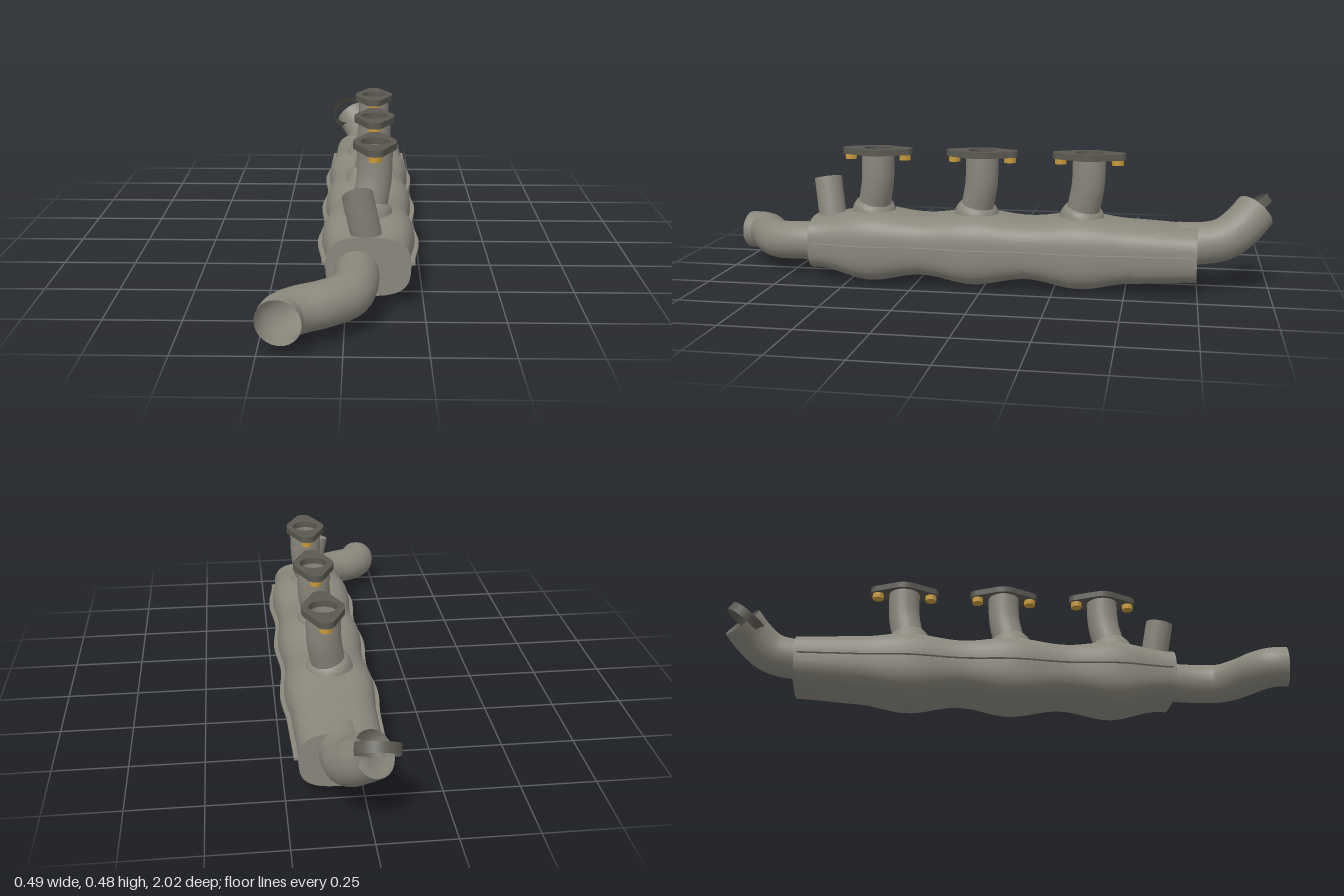
import * as THREE from 'three';
import { toCreasedNormals } from 'three/addons/utils/BufferGeometryUtils.js';

const V = (x, y, z) => new THREE.Vector3(x, y, z);
const material = (color) => new THREE.MeshStandardMaterial({ color, side: THREE.DoubleSide });
const CX = 0.072, Z_FRONT = 0.635, Z_BACK = -0.745;

// Body dimensions along z: three swellings, one under each runner
function section(z) {
  const swell = z < -0.53 ? 0 : 0.5 + 0.5 * Math.cos((2 * Math.PI * (z - 0.04)) / 0.38);
  const mid = THREE.MathUtils.smoothstep(z, Z_BACK, -0.5) * (1 - THREE.MathUtils.smoothstep(z, 0.4, Z_FRONT));
  return {
    w: 0.134 + 0.006 * mid + 0.014 * swell,
    top: 0.235 + 0.01 * mid + 0.018 * swell,
    bottom: 0.043 - 0.013 * mid - 0.027 * swell,
  };
}

// Rounded-box cross-sections lofted from back to front, with flat caps
function bodyGeometry() {
  const rows = 72, n = 48, pos = [], idx = [];
  const power = (v) => Math.sign(v) * Math.pow(Math.abs(v), 2 / 3);
  for (let i = 0; i <= rows; i++) {
    const z = THREE.MathUtils.lerp(Z_BACK, Z_FRONT, i / rows);
    const { w, top, bottom } = section(z);
    for (let j = 0; j < n; j++) {
      const a = (j / n) * Math.PI * 2;
      pos.push(CX + w * power(Math.cos(a)), (top + bottom) / 2 + ((top - bottom) / 2) * power(Math.sin(a)), z);
    }
  }
  for (let i = 0; i < rows; i++) {
    for (let j = 0; j < n; j++) {
      const a = i * n + j, b = i * n + ((j + 1) % n);
      idx.push(a, b, b + n, a, b + n, a + n);
    }
  }
  const back = pos.length / 3;
  pos.push(CX, 0.139, Z_BACK, CX, 0.139, Z_FRONT);
  for (let j = 0; j < n; j++) {
    const k = (j + 1) % n;
    idx.push(back, k, j, back + 1, rows * n + j, rows * n + k);
  }
  const g = new THREE.BufferGeometry();
  g.setAttribute('position', new THREE.Float32BufferAttribute(pos, 3));
  g.setIndex(idx);
  return toCreasedNormals(g, 0.7);
}

// Thin seam lip following one side of the body
function lipGeometry(side) {
  const outer = [], inner = [];
  for (let i = 0; i <= 48; i++) {
    const z = THREE.MathUtils.lerp(Z_BACK + 0.01, Z_FRONT - 0.015, i / 48);
    const { w } = section(z);
    outer.push(new THREE.Vector2(CX + side * (w + 0.014), z));
    inner.unshift(new THREE.Vector2(CX + side * (w - 0.02), z));
  }
  const g = new THREE.ExtrudeGeometry(new THREE.Shape([...outer, ...inner]), { depth: 0.01, bevelEnabled: false });
  return g.rotateX(Math.PI / 2).translate(0, 0.15, 0);
}

function pipe(points, radius, segments = 32) {
  return new THREE.TubeGeometry(new THREE.CatmullRomCurve3(points), segments, radius, 24);
}

// Open band or cylinder turned so that its axis points along dir
function aim(mesh, center, dir) {
  mesh.position.copy(center);
  mesh.quaternion.setFromUnitVectors(V(0, 1, 0), dir.clone().normalize());
  return mesh;
}

// Two-bolt flange: round middle tapering tangentially to rounded ears
function flangeGeometry() {
  const R = 0.072, r = 0.03, d = 0.098, a = Math.acos((R - r) / d);
  const s = new THREE.Shape();
  s.absarc(0, 0, R, -Math.PI / 2 + a, Math.PI / 2 - a);
  s.absarc(0, d, r, Math.PI / 2 - a, Math.PI / 2 + a);
  s.absarc(0, 0, R, Math.PI / 2 + a, Math.PI * 1.5 - a);
  s.absarc(0, -d, r, Math.PI * 1.5 - a, Math.PI * 1.5 + a);
  s.closePath();
  const hole = new THREE.Path();
  hole.absarc(0, 0, 0.048, 0, Math.PI * 2, true);
  s.holes.push(hole);
  const g = new THREE.ExtrudeGeometry(s, { depth: 0.022, bevelEnabled: false, curveSegments: 10 });
  return g.rotateX(Math.PI / 2);
}

export function createModel() {
  const group = new THREE.Group();
  const steel = material(0x8a877c), dark = material(0x5a5850), brass = material(0xc89b3c);
  const add = (name, geometry, mat, parent = group) => {
    const mesh = new THREE.Mesh(geometry, mat);
    mesh.name = name;
    parent.add(mesh);
    return mesh;
  };

  add('body', bodyGeometry(), steel);
  add('leftSeamLip', lipGeometry(1), steel);
  add('rightSeamLip', lipGeometry(-1), steel);

  // Outlet pipe, swinging to the right
  add('frontPipe', pipe([V(0.034, 0.122, 0.6), V(0.034, 0.12, 0.72), V(0.01, 0.115, 0.81), V(-0.06, 0.112, 0.87),
    V(-0.135, 0.109, 0.91), V(-0.175, 0.107, 0.95), V(-0.185, 0.106, 1)], 0.071, 48), steel);

  // Rear elbow, turning up and to the right, with a loose band in its mouth
  add('rearElbow', pipe([V(0.07, 0.172, -0.68), V(0.07, 0.175, -0.77), V(0.063, 0.192, -0.84),
    V(0.037, 0.235, -0.9), V(0, 0.28, -0.944)], 0.074), steel);
  aim(add('rearBand', new THREE.CylinderGeometry(0.075, 0.075, 0.034, 32, 1, true), dark),
    V(-0.008, 0.287, -0.93), V(-0.08, 0.8, 0.6));

  // Short sensor stub
  aim(add('stub', new THREE.CylinderGeometry(0.05, 0.05, 0.16, 24, 1, true), steel),
    V(0.053, 0.288, 0.592), V(-0.027, 0.13, 0.022));

  // Three runners with collars, flanges and bolts
  for (const z of [0.397, 0.015, -0.365]) {
    const runner = new THREE.Group();
    runner.name = 'runner';
    runner.position.set(0.0925, 0, z);
    group.add(runner);
    add('runnerPipe', pipe([V(-0.03, 0.2, 0.035), V(-0.016, 0.28, 0.02), V(-0.003, 0.36, 0.004),
      V(0, 0.42, 0), V(0, 0.466, 0)], 0.058, 20), steel, runner);
    const collar = new THREE.LatheGeometry([[0.084, -0.035], [0.078, 0], [0.069, 0.018], [0.057, 0.026]]
      .map(([x, y]) => new THREE.Vector2(x, y)), 24);
    aim(add('collar', collar, steel, runner), V(-0.017, 0.265, 0.02), V(0.2, 1, -0.2));
    add('flange', flangeGeometry(), dark, runner).position.y = 0.487;
    for (const side of [-1, 1]) {
      const bolt = add('bolt', toCreasedNormals(new THREE.CylinderGeometry(0.021, 0.021, 0.022, 12), 0.7), brass, runner);
      bolt.position.set(0, 0.456, side * 0.1);
    }
  }
  return group;
}
